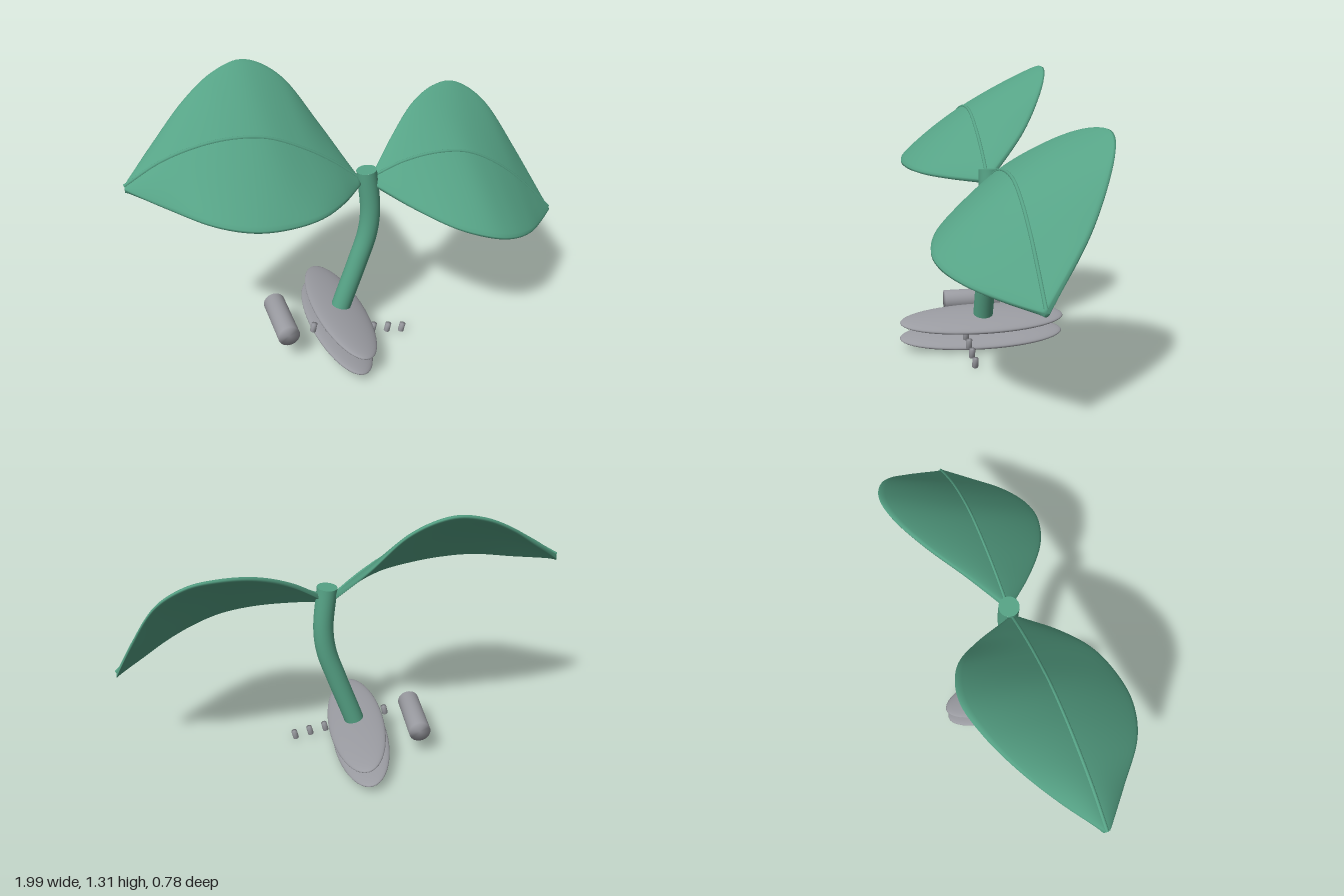
import * as THREE from 'three';
import { mergeVertices } from 'three/addons/utils/BufferGeometryUtils.js';

const green = new THREE.MeshStandardMaterial({ color: 0x56a386 });
green.name = 'leafGreen';
const grey = new THREE.MeshStandardMaterial({ color: 0x9a9ba1 });
grey.name = 'baseGrey';

const TILT = -0.23; // lean of the base about z

function part(name, geometry, material) {
  const mesh = new THREE.Mesh(geometry, material);
  mesh.name = name;
  return mesh;
}

// Cylinder whose normals blend over the rim
function softCylinder(radius, height, sides) {
  const g = new THREE.CylinderGeometry(radius, radius, height, sides);
  g.deleteAttribute('normal');
  g.deleteAttribute('uv');
  const merged = mergeVertices(g);
  merged.computeVertexNormals();
  return merged;
}

// Leaf stations: [x, rib y, back y, back z, front y, front z], in rising x
const RIGHT_LEAF = [
  [-0.995, 0.95, 0.955, -0.01, 0.945, 0.01],
  [-0.85, 1.03, 1.07, -0.135, 0.905, 0.14],
  [-0.7, 1.075, 1.19, -0.245, 0.87, 0.27],
  [-0.55, 1.09, 1.275, -0.325, 0.84, 0.325],
  [-0.4, 1.07, 1.3, -0.363, 0.822, 0.317],
  [-0.25, 1.0, 1.215, -0.32, 0.812, 0.265],
  [-0.12, 0.915, 1.02, -0.2, 0.805, 0.16],
  [0, 0.815, 0.82, -0.02, 0.8, 0.02],
];
const LEFT_LEAF = [
  [0.06, 0.81, 0.815, -0.01, 0.79, 0.02],
  [0.2, 0.86, 0.94, -0.13, 0.72, 0.165],
  [0.35, 0.88, 1.035, -0.255, 0.655, 0.28],
  [0.5, 0.865, 1.075, -0.34, 0.605, 0.328],
  [0.63, 0.805, 1.06, -0.362, 0.565, 0.31],
  [0.76, 0.71, 0.955, -0.31, 0.53, 0.235],
  [0.88, 0.595, 0.735, -0.19, 0.5, 0.12],
  [0.985, 0.485, 0.49, -0.01, 0.48, 0.01],
];

function makeLeaf(name, stations) {
  const curve = (f) => new THREE.CatmullRomCurve3(
    stations.map((s) => new THREE.Vector3(...f(s))), false, 'catmullrom');
  const rib = curve((s) => [s[0], s[1], 0]);
  const back = curve((s) => [s[0], s[2], s[3]]);
  const front = curve((s) => [s[0], s[4], s[5]]);
  const rows = 56, sides = 36, thickness = 0.014;
  const positions = [], index = [];

  // Rounded closed sections, with both ends collapsed to a point
  for (let i = -1; i <= rows + 1; i++) {
    const t = THREE.MathUtils.clamp(i / rows, 0, 1);
    const b = back.getPoint(t), m = rib.getPoint(t), f = front.getPoint(t);
    const isCap = i < 0 || i > rows;
    for (let j = 0; j < sides; j++) {
      if (isCap) { positions.push(m.x, m.y, m.z); continue; }
      const a = (j / sides) * Math.PI * 2;
      const v = Math.cos(a), s = Math.sin(a);
      const bend = (k) => m[k] + v * (f[k] - b[k]) / 2 + v * v * ((f[k] + b[k]) / 2 - m[k]);
      const slope = (k) => (f[k] - b[k]) / 2 + 2 * v * ((f[k] + b[k]) / 2 - m[k]);
      const dy = slope('y'), dz = slope('z');
      const off = Math.sign(s) * Math.pow(Math.abs(s), 0.35) * thickness / Math.hypot(dy, dz);
      positions.push(m.x, bend('y') + dz * off, bend('z') - dy * off);
    }
  }
  for (let i = 0; i < rows + 2; i++) {
    for (let j = 0; j < sides; j++) {
      const k = (j + 1) % sides;
      const a = i * sides + j, b = a + sides, d = i * sides + k, c = d + sides;
      index.push(a, b, d, b, c, d);
    }
  }
  const blade = new THREE.BufferGeometry();
  blade.setAttribute('position', new THREE.Float32BufferAttribute(positions, 3));
  blade.setIndex(index);
  blade.computeVertexNormals();

  // Raised midrib along the upper face
  const vein = new THREE.TubeGeometry(rib, 56, 0.008, 8);
  vein.translate(0, 0.014, 0);

  const leaf = new THREE.Group();
  leaf.name = name;
  leaf.add(part('blade', blade, green), part('midrib', vein, green));
  return leaf;
}

function makeStem() {
  const path = new THREE.CatmullRomCurve3([
    [-0.105, 0.115], [-0.08, 0.19], [-0.005, 0.4], [0.04, 0.54], [0.053, 0.66], [0.035, 0.862],
  ].map(([x, y]) => new THREE.Vector3(x, y, 0)));
  const stem = new THREE.Group();
  stem.name = 'stem';
  stem.add(part('stalk', new THREE.TubeGeometry(path, 40, 0.046, 24), green));
  const cap = part('stalkTop', new THREE.CircleGeometry(0.046, 24), green);
  cap.position.copy(path.getPoint(1));
  cap.quaternion.setFromUnitVectors(new THREE.Vector3(0, 0, 1), path.getTangent(1));
  stem.add(cap);
  return stem;
}

export function createModel() {
  const model = new THREE.Group();
  model.name = 'sproutOnBase';
  model.add(makeLeaf('rightLeaf', RIGHT_LEAF), makeLeaf('leftLeaf', LEFT_LEAF), makeStem());

  // Two thin lens-shaped discs
  const lens = new THREE.SphereGeometry(1, 48, 24);
  for (const [name, x, y] of [['upperDisc', -0.1, 0.134], ['lowerDisc', -0.12, 0.053]]) {
    const disc = part(name, lens, grey);
    disc.position.set(x, y, 0);
    disc.scale.set(0.132, 0.03, 0.391);
    disc.rotation.z = TILT;
    model.add(disc);
  }

  // Sloping row of small pegs
  const pegs = new THREE.Group();
  pegs.name = 'pegRow';
  const pegShape = softCylinder(0.014, 0.042, 12);
  for (let i = 0; i < 7; i++) {
    const peg = part('peg', pegShape, grey);
    peg.position.set(-0.255 + i * 0.0737, 0.134 - i * 0.0182, 0.092);
    peg.rotation.z = TILT;
    pegs.add(peg);
  }
  model.add(pegs);

  // Roller beside the discs
  const roller = part('roller', softCylinder(0.051, 0.275, 28), grey);
  roller.position.set(-0.384, 0.149, 0);
  roller.rotation.x = Math.PI / 2;
  model.add(roller);

  return model;
}
